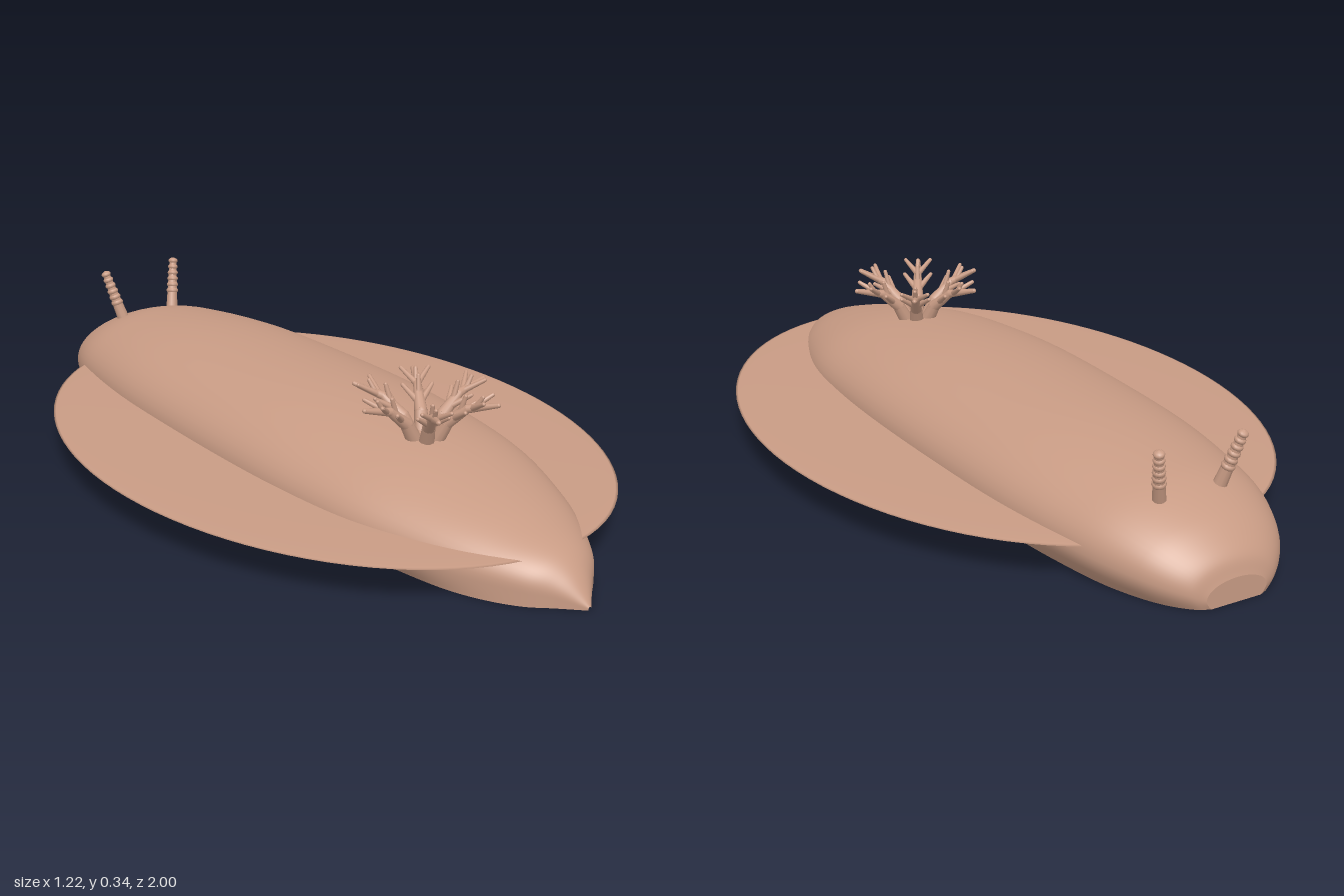
import * as THREE from 'three';

const skin = new THREE.MeshStandardMaterial({ color: 0xc89b84 });
skin.name = 'dusty pink skin';

function add(parent, geometry, name) {
  const mesh = new THREE.Mesh(geometry, skin);
  mesh.name = name;
  parent.add(mesh);
  return mesh;
}

// Tapered limb with a rounded tip between two points
function limb(parent, a, b, r0, r1, name) {
  const dir = b.clone().sub(a);
  const mesh = add(parent, new THREE.CylinderGeometry(r1, r0, dir.length(), 10), name);
  mesh.position.copy(a).addScaledVector(dir, 0.5);
  mesh.quaternion.setFromUnitVectors(new THREE.Vector3(0, 1, 0), dir.normalize());
  add(parent, new THREE.SphereGeometry(r1, 10, 6), name + 'Tip').position.copy(b);
}

// Skin stretched over rows of points
function loft(rows) {
  const n = rows[0].length, index = [];
  for (let j = 0; j < rows.length - 1; j++) {
    for (let i = 0; i < n - 1; i++) {
      const a = j * n + i, b = a + n;
      index.push(a, a + 1, b, a + 1, b + 1, b);
    }
  }
  const g = new THREE.BufferGeometry();
  g.setAttribute('position', new THREE.Float32BufferAttribute(rows.flat(2), 3));
  g.setIndex(index);
  g.computeVertexNormals();
  return g;
}

// Body stations: half width, height, z
const stations = [
  [0.08, 0.06, -1], [0.115, 0.10, -0.985], [0.155, 0.135, -0.95], [0.192, 0.168, -0.9],
  [0.237, 0.206, -0.8], [0.266, 0.225, -0.68], [0.295, 0.243, -0.48], [0.31, 0.25, -0.2],
  [0.313, 0.249, 0.1], [0.304, 0.237, 0.3], [0.28, 0.215, 0.5], [0.225, 0.178, 0.68],
  [0.172, 0.145, 0.8], [0.108, 0.108, 0.9], [0.055, 0.07, 0.95], [0.004, 0.008, 1],
];

// Domed section that tucks in to a flat foot
function section(w, h, z) {
  const belly = 0.37 * h;
  const foot = w * THREE.MathUtils.lerp(0.83, 1, THREE.MathUtils.smoothstep(z, 0.5, 0.9));
  const side = [];
  for (let i = 0; i < 6; i++) {
    const t = i / 6;
    side.push([foot + (w - foot) * Math.sin(t * Math.PI / 2), belly * t, z]);
  }
  const dome = [];
  for (let i = 0; i <= 28; i++) {
    const a = i / 28 * Math.PI;
    dome.push([w * Math.cos(a), belly + (h - belly) * Math.pow(Math.abs(Math.sin(a)), 0.95), z]);
  }
  const mirror = side.map(([x, y]) => [-x, y, z]).reverse();
  return [...side, ...dome, ...mirror];
}

function buildBody(group) {
  const curve = new THREE.CatmullRomCurve3(stations.map((s) => new THREE.Vector3(...s)));
  const rows = curve.getPoints(90).map((p) => section(p.x, p.y, p.z));
  add(group, loft(rows), 'body');
  const sole = rows.map((r) => [r[r.length - 1], r[0]]);
  add(group, loft(sole), 'sole');
  // Small flat face closing the tail end
  add(group, loft([rows[0].map(([, y, z]) => [0, y, z]), rows[0]]), 'tailCap');
}

// One ringed feeler
function buildFeeler(side) {
  const feeler = new THREE.Group();
  feeler.name = side > 0 ? 'leftFeeler' : 'rightFeeler';
  const a = new THREE.Vector3(side * 0.08, 0.18, -0.818);
  const b = new THREE.Vector3(side * 0.112, 0.315, -0.855);
  limb(feeler, a, b, 0.017, 0.01, 'stalk');
  for (let i = 0; i < 6; i++) {
    const t = 0.4 + i * 0.12;
    const ring = add(feeler, new THREE.SphereGeometry(0.0195 - 0.006 * t, 12, 8), 'ring');
    ring.position.lerpVectors(a, b, t);
    ring.quaternion.setFromUnitVectors(new THREE.Vector3(0, 1, 0), b.clone().sub(a).normalize());
    ring.scale.y = 0.65;
  }
  return feeler;
}

// One branching gill plume, growing outward along +x
function buildPlume() {
  const plume = new THREE.Group();
  plume.name = 'gillPlume';
  const V = (x, y, z = 0) => new THREE.Vector3(x, y, z);
  limb(plume, V(0.025, 0.205), V(0.055, 0.262), 0.02, 0.016, 'trunk');
  limb(plume, V(0.055, 0.262), V(0.105, 0.305), 0.016, 0.011, 'trunk');
  limb(plume, V(0.105, 0.305), V(0.18, 0.325), 0.011, 0.006, 'trunk');
  limb(plume, V(0.085, 0.288), V(0.1, 0.335), 0.008, 0.005, 'twig');
  limb(plume, V(0.125, 0.311), V(0.142, 0.339), 0.007, 0.005, 'twig');
  for (const s of [-1, 1]) {
    limb(plume, V(0.07, 0.275), V(0.112, 0.308, s * 0.036), 0.009, 0.005, 'twig');
    limb(plume, V(0.115, 0.307), V(0.155, 0.336, s * 0.034), 0.008, 0.005, 'twig');
  }
  return plume;
}

export function createModel() {
  const group = new THREE.Group();
  group.name = 'seaSlug';
  buildBody(group);

  // Wide thin skirt spreading from both flanks
  const skirt = add(group, new THREE.SphereGeometry(1, 96, 24), 'mantleSkirt');
  skirt.scale.set(0.612, 0.011, 0.865);
  skirt.position.set(0, 0.096, 0.022);

  for (const side of [1, -1]) group.add(buildFeeler(side));

  // Ring of six gill plumes
  const gills = new THREE.Group();
  gills.name = 'gills';
  gills.position.z = 0.43;
  for (let i = 0; i < 6; i++) {
    const plume = buildPlume();
    plume.rotation.y = i * Math.PI / 3;
    gills.add(plume);
  }
  group.add(gills);
  return group;
}
